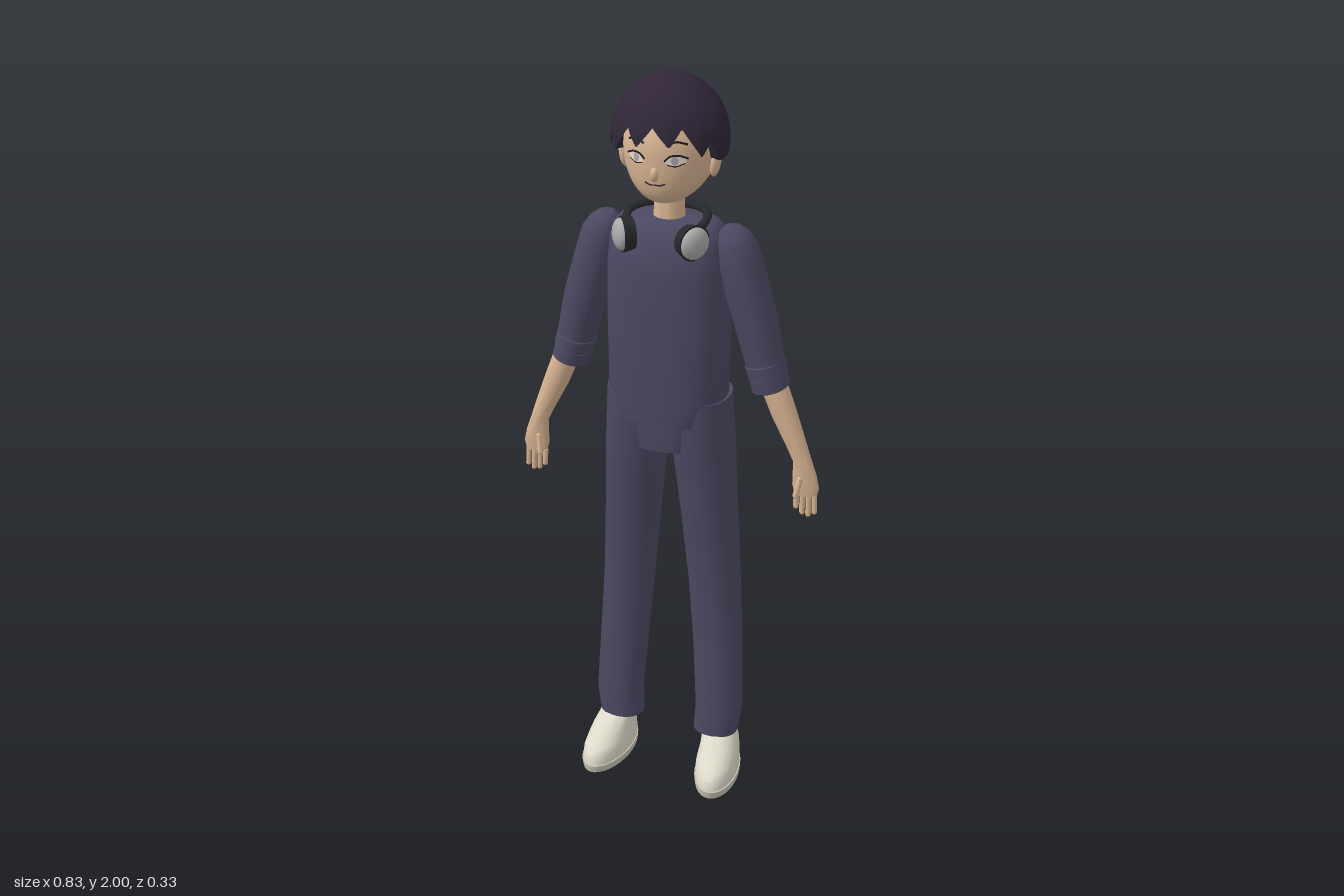
import * as THREE from 'three';
import { toCreasedNormals } from 'three/addons/utils/BufferGeometryUtils.js';

const mat = (name, color, side = THREE.FrontSide) => {
  const m = new THREE.MeshStandardMaterial({ color, side });
  m.name = name;
  return m;
};

// Builds an indexed grid surface from a point function, optionally closed in u
function grid(nu, nv, closed, point) {
  const pos = [], index = [], cols = closed ? nu : nu + 1;
  for (let j = 0; j <= nv; j++)
    for (let i = 0; i < cols; i++) pos.push(...point(i / nu, j));
  for (let j = 0; j < nv; j++)
    for (let i = 0; i < nu; i++) {
      const a = j * cols + i, b = j * cols + (i + 1) % cols;
      index.push(a, a + cols, b, b, a + cols, b + cols);
    }
  const g = new THREE.BufferGeometry();
  g.setAttribute('position', new THREE.Float32BufferAttribute(pos, 3));
  g.setIndex(index);
  g.computeVertexNormals();
  return g;
}

// Capped stack of rounded rings, bottom to top: [x, y, halfWidth, zFront, zBack, tilt]
function loft(rows, s = 1, power = 1, n = 32) {
  const cap = ([x, y, , f, b, t]) => [x, y, 0.001, (f + b) / 2 + 0.001, (f + b) / 2 - 0.001, t];
  const all = [cap(rows[0]), ...rows, cap(rows[rows.length - 1])];
  const round = v => Math.sign(v) * Math.abs(v) ** power;
  const g = grid(n, all.length - 1, true, (u, j) => {
    const [x, y, rx, f, b, tilt = 0] = all[j], a = u * Math.PI * 2;
    const dx = rx * round(Math.cos(a));
    return [s * x + dx, y + tilt * s * dx, (f + b) / 2 + (f - b) / 2 * round(Math.sin(a))];
  });
  return toCreasedNormals(g, 0.75);
}

// Front surface of the face
const headZ = (x, y) => {
  const ny = (y - 1.825) / 0.135, t = Math.max(0, -ny);
  return -0.025 + 0.05 * t * t + 0.125 * Math.sqrt(Math.max(0, 1 - ny * ny - (x / 0.118) ** 2));
};

// Ellipsoidal hair surface: angle 0 faces front
function hairPoint(a, phi, scale) {
  const r = 0.141 * scale * Math.sin(phi);
  return [r * Math.sin(a), 1.84 + 0.16 * Math.cos(phi), -0.025 + r * Math.cos(a)];
}
const hairPhi = y => Math.acos((y - 1.84) / 0.16);

export function createModel() {
  const root = new THREE.Group();
  root.name = 'standingFigure';
  const skin = mat('skin', 0xd8b493);
  const cloth = mat('cloth', 0x4c4862);
  const hair = mat('hair', 0x302638, THREE.DoubleSide);
  const shoe = mat('shoe', 0xdedaca);
  const sole = mat('sole', 0xc6c2b2);
  const black = mat('black', 0x26292b);
  const silver = mat('silver', 0xa9aaa8);
  const white = mat('eyeWhite', 0xe6dcd0, THREE.DoubleSide);
  const line = mat('faceLine', 0x241c22);
  const add = (name, geometry, material, parent = root) => {
    const m = new THREE.Mesh(geometry, material);
    m.name = name;
    parent.add(m);
    return m;
  };

  // Head with the chin drawn forward
  const headGeo = new THREE.SphereGeometry(1, 40, 28);
  const p = headGeo.attributes.position;
  for (let i = 0; i < p.count; i++) {
    const t = Math.max(0, -p.getY(i));
    p.setXYZ(i, p.getX(i) * 0.118, 1.825 + p.getY(i) * 0.135, -0.025 + 0.05 * t * t + p.getZ(i) * 0.125);
  }
  headGeo.computeVertexNormals();
  add('head', headGeo, skin);
  add('neck', loft([[0, 1.6, 0.045, 0.035, -0.05], [0, 1.66, 0.039, 0.029, -0.046], [0, 1.75, 0.039, 0.03, -0.046]]), skin);
  const nose = add('nose', new THREE.SphereGeometry(1, 12, 10), skin);
  nose.scale.set(0.011, 0.018, 0.013);
  nose.position.set(0, 1.782, 0.098);

  // Facial lines follow the face surface
  const stroke = (name, pts, r) => add(name, new THREE.TubeGeometry(new THREE.CatmullRomCurve3(
    pts.map(([x, y]) => new THREE.Vector3(x, y, headZ(x, y) + 0.001))), 12, r, 5), line);
  stroke('mouth', [[-0.026, 1.759], [-0.012, 1.754], [0, 1.755], [0.012, 1.754], [0.026, 1.759]], 0.0018);
  const facePlate = (name, x, y, rx, ry, off, material) => {
    const g = new THREE.CircleGeometry(1, 20), q = g.attributes.position;
    for (let i = 0; i < q.count; i++) {
      const px = x + q.getX(i) * rx, py = y + q.getY(i) * ry;
      q.setXYZ(i, px, py, headZ(px, py) + off);
    }
    g.computeVertexNormals();
    add(name, g, material);
  };

  // Hair cap, long at the back and sides, with fine strand ridges
  add('hairCap', grid(120, 17, true, (u, j) => {
    const a = (u - 0.5) * Math.PI * 2;
    const k = THREE.MathUtils.smoothstep(Math.abs(a), 1.0, 1.3);
    const phi = hairPhi(1.9 - 0.095 * k) * Math.min(j / 16, 1);
    const ridge = 1 + 0.022 * Math.abs(Math.sin(a * 10)) * Math.sin(phi) ** 2;
    const q = hairPoint(a, Math.max(phi, 0.001), ridge);
    return j < 17 ? q : [q[0] * 0.8, q[1] + 0.002, (q[2] + 0.025) * 0.8 - 0.025];
  }), hair);

  // Fringe shell with pointed locks
  const tips = [[-1.5, 1.83], [-1.22, 1.812], [-1.02, 1.86], [-0.82, 1.825], [-0.5, 1.89], [-0.27, 1.85],
    [0, 1.9], [0.3, 1.855], [0.52, 1.9], [0.85, 1.828], [1.02, 1.86], [1.25, 1.81], [1.5, 1.83]];
  add('fringe', grid(96, 12, false, (u, j) => {
    const a = -1.5 + 3 * u;
    let i = 0;
    while (i < tips.length - 2 && a > tips[i + 1][0]) i++;
    const [a0, y0] = tips[i], [a1, y1] = tips[i + 1], f = (a - a0) / (a1 - a0);
    const v = j / 12, yb = y0 + (y1 - y0) * f;
    const phi = 0.35 + 0.12 * Math.abs(Math.sin(a * 2)) + (hairPhi(yb) - 0.35 - 0.12 * Math.abs(Math.sin(a * 2))) * v;
    const bulge = 1.015 + (0.025 + (1.9 - yb) * 0.3) * Math.sin(v * 2.2);
    return hairPoint(a, phi, bulge);
  }), hair);

  // Shirt and hips
  add('shirt', loft([
    [0, 1.1, 0.13, 0.094, -0.1], [0, 1.17, 0.157, 0.097, -0.108], [0, 1.4, 0.16, 0.097, -0.115],
    [0, 1.52, 0.157, 0.097, -0.113], [0, 1.585, 0.152, 0.086, -0.104], [0, 1.62, 0.143, 0.066, -0.09],
    [0, 1.638, 0.125, 0.05, -0.076], [0, 1.645, 0.1, 0.038, -0.064]], 1, 0.8, 48), cloth);
  add('hips', loft([[0, 1.02, 0.088, 0.077, -0.115], [0, 1.1, 0.12, 0.08, -0.115],
    [0, 1.17, 0.15, 0.08, -0.113]], 1, 0.75), cloth);

  // Neckband of the headphones
  const band = [[-0.088, 1.63, 0.06], [-0.102, 1.647, 0.01], [-0.078, 1.652, -0.05], [0, 1.653, -0.08],
    [0.078, 1.652, -0.05], [0.102, 1.647, 0.01], [0.088, 1.63, 0.06]];
  add('headphoneBand', new THREE.TubeGeometry(new THREE.CatmullRomCurve3(
    band.map(q => new THREE.Vector3(...q))), 48, 0.011, 8), black);

  for (const s of [1, -1]) {
    const side = s > 0 ? 'left' : 'right';

    // Face details
    facePlate(side + 'Eye', s * 0.05, 1.818, 0.023, 0.013, 0.001, white);
    facePlate(side + 'Iris', s * 0.049, 1.818, 0.008, 0.011, 0.002, silver);
    stroke(side + 'UpperLid', [[s * 0.025, 1.817], [s * 0.038, 1.829], [s * 0.056, 1.831], [s * 0.077, 1.822]], 0.0025);
    stroke(side + 'LowerLid', [[s * 0.031, 1.808], [s * 0.05, 1.804], [s * 0.07, 1.811]], 0.0014);
    stroke(side + 'Brow', [[s * 0.027, 1.855], [s * 0.05, 1.863], [s * 0.074, 1.856]], 0.0028);
    const ear = add(side + 'Ear', new THREE.SphereGeometry(1, 16, 12), skin);
    ear.scale.set(0.013, 0.038, 0.021);
    ear.position.set(s * 0.118, 1.793, -0.01);
    ear.rotation.z = -s * 0.12;

    // Headphone cup facing outward and forward
    const cup = new THREE.Group();
    cup.name = side + 'HeadphoneCup';
    cup.position.set(s * 0.083, 1.61, 0.068);
    cup.rotation.y = s > 0 ? -0.6 : Math.PI + 0.6;
    root.add(cup);
    const pad = add('pad', new THREE.CylinderGeometry(0.046, 0.04, 0.03, 28), black, cup);
    pad.rotation.z = -Math.PI / 2;
    const shell = add('shell', new THREE.SphereGeometry(1, 24, 16), silver, cup);
    shell.scale.set(0.024, 0.041, 0.041);
    shell.position.x = 0.014;

    // Sleeve and folded cuff
    add(side + 'Sleeve', loft([
      [0.272, 1.225, 0.046, 0.04, -0.06, 0.28], [0.228, 1.4, 0.055, 0.046, -0.062, 0.25],
      [0.187, 1.54, 0.057, 0.05, -0.064, 0.15], [0.176, 1.59, 0.053, 0.046, -0.06, 0.08],
      [0.17, 1.62, 0.04, 0.033, -0.047], [0.167, 1.636, 0.02, 0.012, -0.026]], s), cloth);
    for (const [k, y, r] of [[1, 1.25, 0.05], [2, 1.215, 0.048]]) {
      const x = 0.272 - (y - 1.225) * 0.26, z = -0.01;
      add(side + 'Cuff' + k, loft([
        [x + 0.001, y - 0.004, r - 0.006, z + r, z - r, 0.28], [x, y, r, z + r + 0.006, z - r - 0.006, 0.28],
        [x - 0.009, y + 0.032, r, z + r + 0.006, z - r - 0.006, 0.28],
        [x - 0.01, y + 0.036, r - 0.006, z + r, z - r, 0.28]], s), cloth);
    }

    // Forearm running into the palm
    add(side + 'Forearm', loft([
      [0.379, 0.922, 0.03, 0.01, -0.008], [0.378, 0.95, 0.036, 0.014, -0.012], [0.374, 0.985, 0.032, 0.018, -0.016],
      [0.366, 1.025, 0.023, 0.02, -0.018, 0.3], [0.348, 1.07, 0.025, 0.023, -0.022, 0.4],
      [0.313, 1.15, 0.031, 0.027, -0.031, 0.4], [0.277, 1.24, 0.033, 0.028, -0.036, 0.4]], s, 1, 20), skin);

    // Fingers and thumb
    const digit = (name, x, y, z, len, r, rx, rz) => {
      const d = add(side + name, new THREE.CapsuleGeometry(r, len, 4, 8), skin);
      d.position.set(s * x, y, z);
      d.rotation.set(rx, 0, s * rz);
    };
    [0.038, 0.052, 0.056, 0.046].forEach((len, i) =>
      digit('Finger' + (i + 1), 0.354 + i * 0.0165, 0.926 - len / 2, 0.002, len, 0.0075, -0.06, 0.04));
    digit('Thumb', 0.362, 0.953, 0.021, 0.045, 0.008, -0.25, -0.15);

    // Trouser leg
    add(side + 'Leg', loft([
      [0.141, 0.125, 0.063, 0.047, -0.06], [0.148, 0.2, 0.066, 0.045, -0.068], [0.137, 0.4, 0.068, 0.034, -0.088],
      [0.123, 0.6, 0.071, 0.032, -0.1], [0.109, 0.8, 0.075, 0.05, -0.106], [0.093, 1.02, 0.081, 0.072, -0.11],
      [0.085, 1.17, 0.08, 0.08, -0.11]], s, 0.9), cloth);

    // Shoe turned slightly outward
    const foot = new THREE.Group();
    foot.name = side + 'Shoe';
    foot.position.x = s * 0.158;
    foot.rotation.y = s * 0.12;
    root.add(foot);
    add('sole', loft([[0, 0, 0.06, 0.163, -0.083], [0, 0.022, 0.062, 0.167, -0.085]]), sole, foot);
    add('upper', loft([
      [0, 0.02, 0.059, 0.161, -0.082], [0, 0.05, 0.059, 0.157, -0.081], [0, 0.066, 0.057, 0.138, -0.08],
      [0, 0.09, 0.053, 0.1, -0.077], [-s * 0.004, 0.115, 0.049, 0.06, -0.074], [-s * 0.008, 0.138, 0.044, 0.03, -0.07]]), shoe, foot);
  }
  return root;
}
